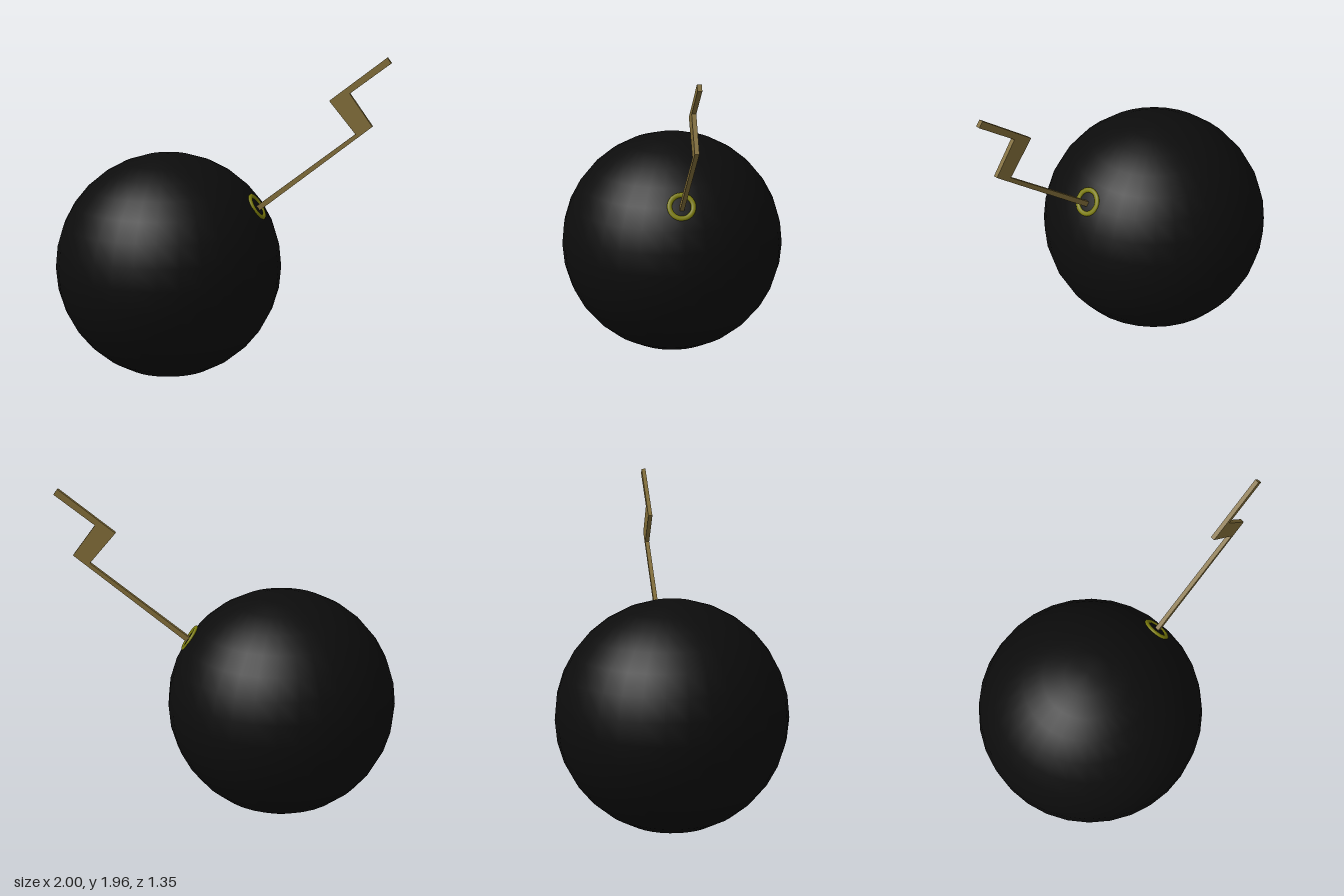
import * as THREE from 'three';

export function createModel() {
  const model = new THREE.Group();
  const black = new THREE.MeshStandardMaterial({ color: 0x0c0c0c });
  black.name = 'black shell';
  const olive = new THREE.MeshStandardMaterial({ color: 0x7c7c0c });
  olive.name = 'olive ring';
  const tan = new THREE.MeshStandardMaterial({ color: 0x806c38 });
  tan.name = 'tan fuse';

  const add = (name, geometry, material, x, y, z) => {
    const mesh = new THREE.Mesh(geometry, material);
    mesh.name = name;
    mesh.position.set(x, y, z);
    model.add(mesh);
    return mesh;
  };

  // Round body
  add('body', new THREE.SphereGeometry(0.675, 32, 16), black, -0.325, 0.677, 0);

  // Flattened ring half sunk into the body, facing up along the fuse
  const ring = add('fuseRing', new THREE.TorusGeometry(0.07, 0.015, 12, 32), olive, 0.222, 1.062, 0.007);
  ring.rotation.set(0, Math.PI / 2, THREE.MathUtils.degToRad(32), 'ZYX');
  ring.scale.z = 0.7;

  // Zigzag fuse: thin stem, wide kink, thin tip
  const outline = [
    [0.215, 1.062], [0.234, 1.037], [0.897, 1.563], [0.763, 1.748],
    [0.998, 1.927], [0.974, 1.959], [0.645, 1.703], [0.8, 1.517],
  ].map(([x, y]) => new THREE.Vector2(x, y));
  const depth = 0.025;
  const fuse = new THREE.ExtrudeGeometry(new THREE.Shape(outline), { depth, bevelEnabled: false });
  add('fuse', fuse, tan, 0, 0, 0.007 - depth / 2);

  return model;
}
